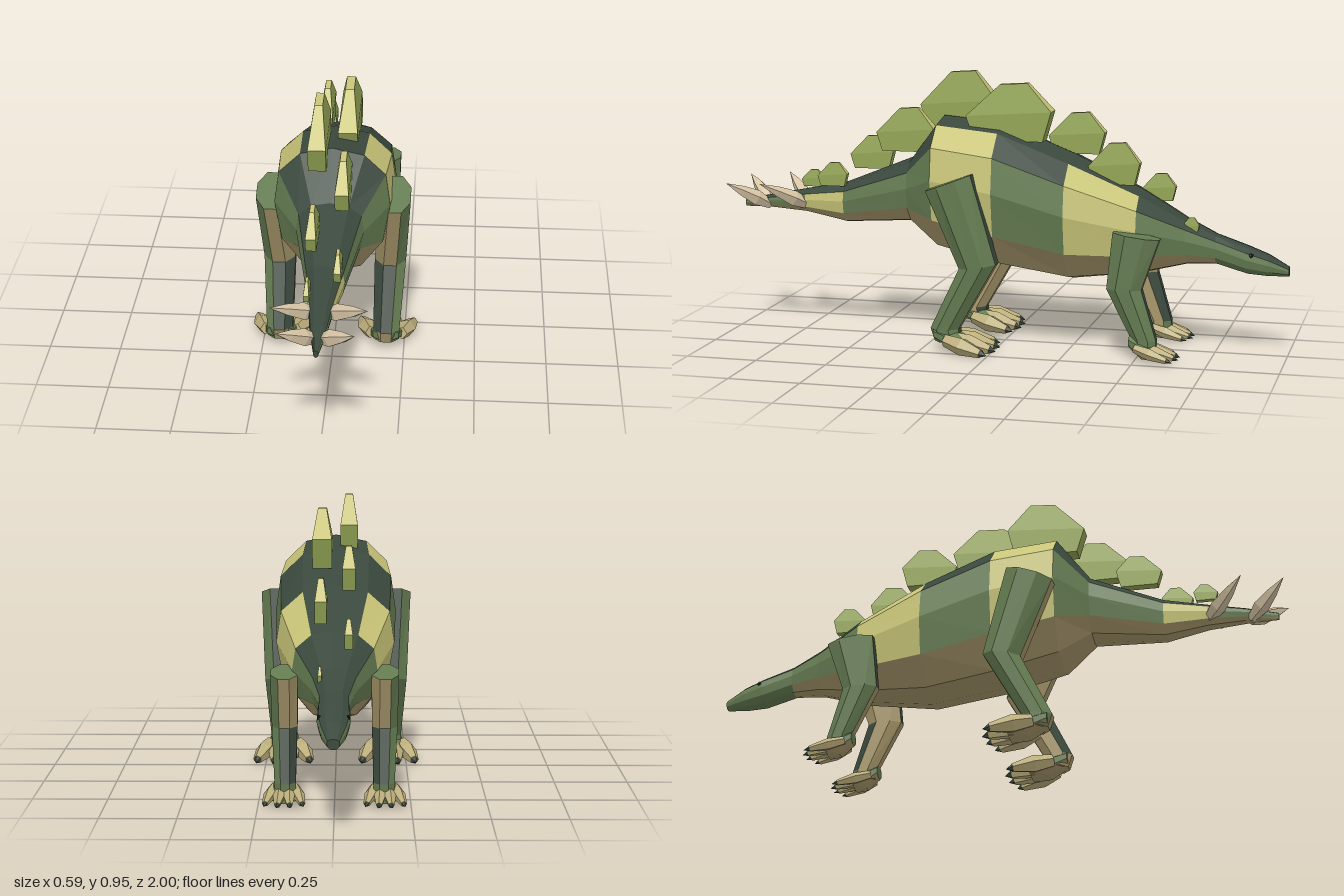
import * as THREE from 'three';

const V = (x, y, z) => new THREE.Vector3(x, y, z);

export function createModel() {
  const mat = (name, color) => Object.assign(new THREE.MeshStandardMaterial({ color }), { name });
  const dark = mat('darkGreen', 0x3a483d), green = mat('midGreen', 0x657c52),
    belly = mat('bellyBrown', 0xa8986c), khaki = mat('stripeKhaki', 0xc8c478),
    plateGreen = mat('plateGreen', 0x93a555), horn = mat('hornCream', 0xd8c6a6),
    toeTan = mat('toeTan', 0xbcae7c), black = mat('eyeBlack', 0x15180f);
  const model = new THREE.Group();
  model.name = 'platedDinosaur';

  // Flat-faced skin over a list of rings; pick(i, j, normal) chooses each face's material.
  function loft(name, rings, pick, parent) {
    const buckets = new Map(), n = rings[0].length, last = rings.length - 1;
    const face = (i, j, pts) => {
      const normal = pts[1].clone().sub(pts[0]).cross(pts[2].clone().sub(pts[0])).normalize();
      const m = pick(i, j, normal);
      if (!buckets.has(m)) buckets.set(m, []);
      for (let k = 1; k < pts.length - 1; k++)
        for (const p of [pts[0], pts[k], pts[k + 1]]) buckets.get(m).push(p.x, p.y, p.z);
    };
    for (let i = 0; i < last; i++)
      for (let j = 0; j < n; j++) {
        const k = (j + 1) % n;
        face(i, j, [rings[i][j], rings[i][k], rings[i + 1][k], rings[i + 1][j]]);
      }
    face(-1, 0, [...rings[0]].reverse());
    face(last, 0, rings[last]);
    const geo = new THREE.BufferGeometry(), all = [], mats = [];
    for (const [m, list] of buckets) {
      geo.addGroup(all.length / 3, list.length / 3, mats.length);
      for (const v of list) all.push(v);
      mats.push(m);
    }
    geo.setAttribute('position', new THREE.Float32BufferAttribute(all, 3));
    geo.computeVertexNormals();
    const mesh = new THREE.Mesh(geo, mats);
    mesh.name = name;
    parent.add(mesh);
  }

  // Faceted pointed piece from a to b; profile is [radius, fraction of length].
  function spike(name, a, b, profile, material, parent) {
    const dir = b.clone().sub(a), len = dir.length();
    const lathe = new THREE.LatheGeometry(profile.map(([r, t]) => new THREE.Vector2(r, t * len)), 5);
    const geo = lathe.toNonIndexed();
    geo.computeVertexNormals();
    const mesh = new THREE.Mesh(geo, material);
    mesh.name = name;
    mesh.position.copy(a);
    mesh.quaternion.setFromUnitVectors(V(0, 1, 0), dir.normalize());
    parent.add(mesh);
  }

  // Body, tail tip to snout: z, top, bottom, half width
  const sections = [
    [0.97, 0.475, 0.45, 0.008], [0.86, 0.5, 0.45, 0.028], [0.73, 0.525, 0.44, 0.042],
    [0.58, 0.555, 0.41, 0.065], [0.33, 0.655, 0.425, 0.115], [0.22, 0.805, 0.335, 0.197],
    [0, 0.785, 0.28, 0.21], [-0.25, 0.685, 0.245, 0.2], [-0.49, 0.57, 0.275, 0.14],
    [-0.65, 0.475, 0.315, 0.075], [-0.75, 0.425, 0.32, 0.05], [-0.86, 0.387, 0.29, 0.053],
    [-0.93, 0.36, 0.285, 0.042], [-1, 0.32, 0.287, 0.02],
  ];
  const half = [[0, 1], [0.55, 0.95], [0.92, 0.8], [1, 0.56], [0.88, 0.26], [0.5, 0.05], [0, 0]];
  const outline = [...half, ...half.slice(1, 6).reverse().map(([x, y]) => [-x, y])];
  const bodyRings = sections.map(([z, top, bot, w]) =>
    outline.map(([x, y]) => V(x * w, bot + y * (top - bot), z)));
  // stripes: section indices; stripeRow: first row down from the spine that is striped
  const bodyPart = (name, from, to, stripes, stripeRow, under) =>
    loft(name, bodyRings.slice(from, to + 1), (i, j) => {
      const row = j < 6 ? j : 11 - j;
      if (row > 3) return under;
      if (stripes.includes(from + i) && row >= stripeRow) return khaki;
      return row < 2 ? dark : green;
    }, model);
  bodyPart('tail', 0, 5, [2], 2, belly);
  bodyPart('torso', 5, 9, [5, 7], 1, belly);
  bodyPart('neck', 9, 10, [], 1, belly);
  bodyPart('head', 10, 13, [], 1, green);

  // Back plates, alternating sides: x side, z centre, half length, base, height
  const plates = [
    [-1, 0.728, 0.042, 0.525, 0.062], [1, 0.62, 0.055, 0.545, 0.085], [-1, 0.5, 0.08, 0.6, 0.12],
    [1, 0.345, 0.105, 0.68, 0.155], [-1, 0.175, 0.138, 0.75, 0.21], [1, -0.03, 0.152, 0.73, 0.2],
    [-1, -0.25, 0.1, 0.68, 0.145], [1, -0.4, 0.09, 0.59, 0.145], [-1, -0.54, 0.06, 0.525, 0.095],
    [1, -0.665, 0.03, 0.43, 0.055],
  ];
  for (const [s, zc, w, y0, h] of plates) {
    const t = w * 0.22;
    // each level: rear z, rear y, front z, front y, half thickness
    const rings = [[0.8, 0, -0.8, 0, t], [1, 0.42, -1, 0.52, t], [0.22, 0.97, -0.42, 1, t * 0.45]]
      .map(([zr, yr, zf, yf, d]) => [[zr, yr, -d], [zr, yr, d], [zf, yf, d], [zf, yf, -d]]
        .map(([z, y, x]) => V(s * 0.046 + x, y0 + y * h, zc + z * w)));
    loft('backPlate', rings, (i, j) => (i === 2 || (i === 1 && j % 2 === 0) ? khaki : plateGreen), model);
  }

  // Leg sections, top down: y, z, x, half width, half depth, rearward drop
  const legs = [
    {
      name: 'hindLeg', x: 0.187, footZ: 0.2, scale: 1.3, toeZ: -0.03, parts: [
        [0.6, 0.145, 0.212, 0.053, 0.08, 0.03], [0.31, 0.045, 0.195, 0.055, 0.065, 0.01],
        [0.085, 0.165, 0.188, 0.046, 0.05, 0], [0.04, 0.155, 0.187, 0.046, 0.045, 0]],
    },
    {
      name: 'frontLeg', x: 0.165, footZ: -0.48, scale: 0.85, toeZ: -0.66, parts: [
        [0.435, -0.5, 0.165, 0.045, 0.08, -0.01], [0.25, -0.46, 0.165, 0.042, 0.06, 0],
        [0.075, -0.53, 0.162, 0.035, 0.042, 0], [0.04, -0.53, 0.162, 0.035, 0.04, 0]],
    },
  ];
  // Eight-sided ring: point(cos, sin) with flat sides facing the axes
  const octagon = (point) => [...Array(8).keys()].map((k) => {
    const a = (k + 0.5) * Math.PI / 4;
    return point(Math.cos(a) / 0.924, Math.sin(a) / 0.924);
  });
  for (const s of [1, -1])
    for (const { name, x, footZ, scale, toeZ, parts } of legs) {
      const leg = new THREE.Group();
      leg.name = name;
      model.add(leg);
      // Outer sides green, inner and downward faces brown, upward faces dark
      const skin = (n) => {
        if (n.y > 0.8 || n.x * s > 0.35) return green;
        if (n.y < -0.1 || n.x * s < -0.85) return belly;
        return n.y > 0.1 ? dark : green;
      };
      const rings = parts.map(([y, z, cx, rx, rz, drop]) =>
        octagon((c, d) => V(s * cx + c * rx, y - d * drop, z + d * rz)));
      loft('limb', rings, (i, j, n) => skin(n), leg);

      // Foot: forward offset, height, half height, half width
      const foot = [[0, 0.07, 0.022, 0.035], [0.05, 0.045, 0.034, 0.045], [0.1, 0.03, 0.022, 0.05]]
        .map(([f, y, ry, rx]) =>
          octagon((c, d) => V(s * x + d * rx * scale, y + c * ry, footZ - f * scale)));
      loft('foot', foot, (i, j, n) => (n.y < -0.15 ? belly : green), leg);

      // Four toes with dark claws
      for (let k = 0; k < 4; k++) {
        const u = (k - 1.5) / 1.5, back = Math.abs(u) * 0.025;
        const a = V(s * x + u * 0.04 * scale, 0.052, footZ - 0.055 * scale + back);
        const b = V(s * x + u * 0.076 * scale, 0.016, toeZ + back);
        const r = 0.025 * scale;
        spike('toe', a, b, [[0, 0], [r * 0.7, 0], [r, 0.4], [r * 0.5, 0.86], [0, 0.88]], toeTan, leg);
        spike('claw', a.clone().lerp(b, 0.84), b, [[0, 0], [r * 0.5, 0], [0, 1]], dark, leg);
      }
    }

  // Paired tail spikes and eyes
  for (const s of [1, -1]) {
    const profile = [[0, 0], [0.016, 0], [0.029, 0.32], [0.019, 0.65], [0, 1]];
    spike('tailSpike', V(s * 0.012, 0.465, 0.725), V(s * 0.155, 0.558, 0.86), profile, horn, model);
    spike('tailSpike', V(s * 0.008, 0.46, 0.875), V(s * 0.122, 0.55, 1), profile, horn, model);
    const eye = new THREE.Mesh(new THREE.IcosahedronGeometry(0.01, 0), black);
    eye.name = 'eye';
    eye.position.set(s * 0.043, 0.36, -0.872);
    model.add(eye);
  }
  return model;
}
